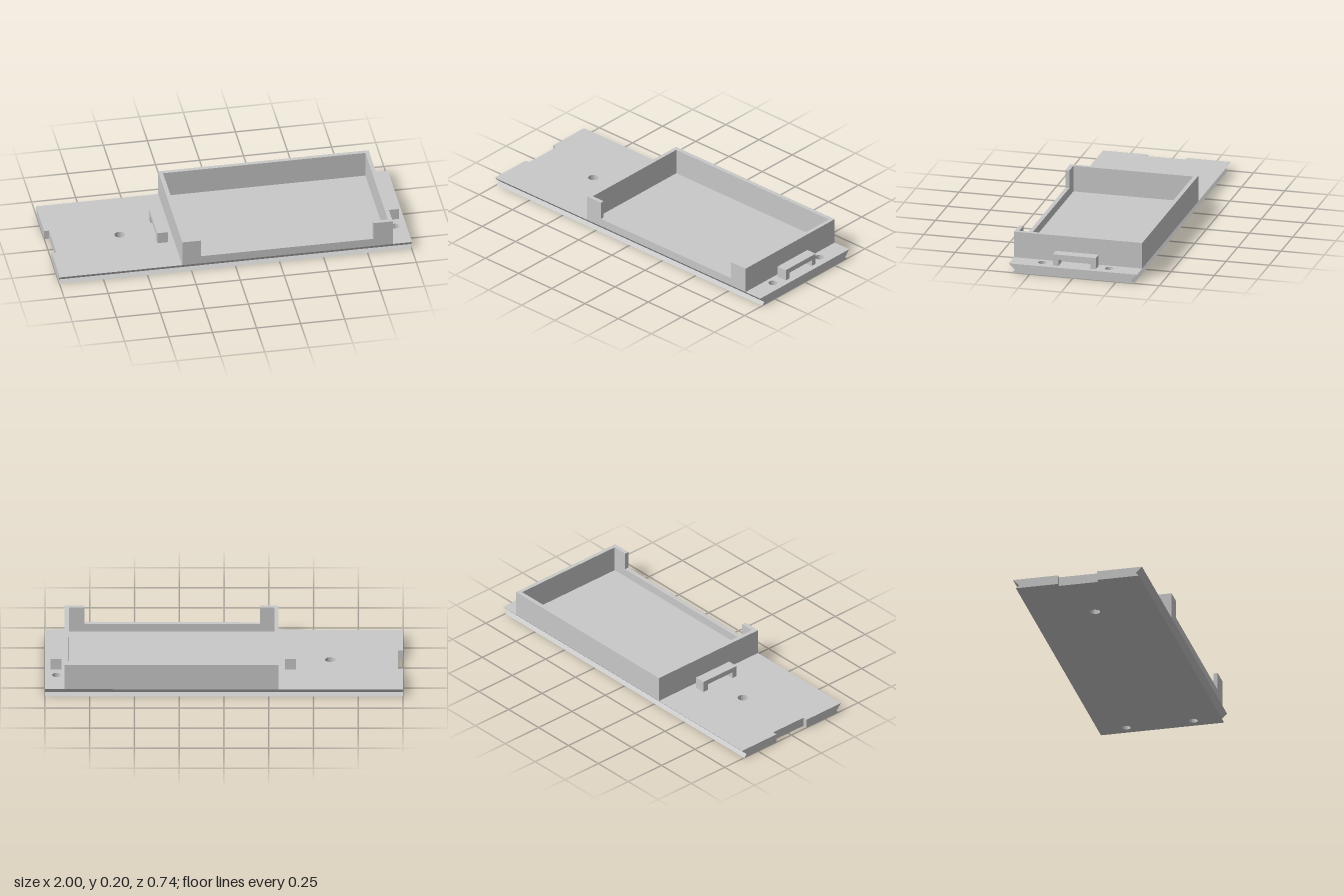
import * as THREE from 'three';
import { toCreasedNormals } from 'three/addons/utils/BufferGeometryUtils.js';

const grey = new THREE.MeshStandardMaterial({ color: 0xc8c8c8 });
grey.name = 'light grey';

const DECK = 0.053; // top of the base plate
const TOP = 0.204; // top of the tray walls
const HALF = 0.371; // half depth of the base plate

const outline = (pts) => pts.map(([x, y]) => new THREE.Vector2(x, y));

function addMesh(parent, name, geometry) {
  const mesh = new THREE.Mesh(geometry, grey);
  mesh.name = name;
  parent.add(mesh);
  return mesh;
}

function addBox(parent, name, [x0, x1], [y0, y1], [z0, z1]) {
  const mesh = addMesh(parent, name, new THREE.BoxGeometry(x1 - x0, y1 - y0, z1 - z0));
  mesh.position.set((x0 + x1) / 2, (y0 + y1) / 2, (z0 + z1) / 2);
}

// Sliding plate: notched at one end, drilled, with dovetail grooves on both long edges
function plateGeometry() {
  const shape = new THREE.Shape(outline([
    [-1, -HALF], [1, -HALF], [1, HALF], [-1, HALF],
    [-1, 0.113], [-0.973, 0.113], [-0.973, -0.113], [-1, -0.113],
  ]));
  for (const [x, y, r] of [[-0.593, 0, 0.029], [0.935, 0.193, 0.025], [0.935, -0.193, 0.025]]) {
    shape.holes.push(new THREE.Path().absarc(x, y, r, 0, Math.PI * 2, true));
  }
  const geometry = new THREE.ExtrudeGeometry(shape, { depth: 2, steps: 2, bevelEnabled: false, curveSegments: 32 });

  // Set the height of each layer and pull its long edges in to form the groove
  const levels = [[0, 0.354], [0.018, 0.336], [DECK, HALF]];
  const p = geometry.attributes.position;
  for (let i = 0; i < p.count; i++) {
    const [height, half] = levels[Math.round(p.getZ(i))];
    p.setZ(i, height);
    if (Math.abs(p.getY(i)) > HALF - 0.001) p.setY(i, Math.sign(p.getY(i)) * half);
  }
  geometry.rotateX(-Math.PI / 2);
  return toCreasedNormals(geometry, 0.5);
}

// Open tray: a wall ring up to the front lip, then a ring with a gap at the front
function buildTray() {
  const tray = new THREE.Group();
  tray.name = 'tray';
  const [x0, x1, i0, i1, inner] = [-0.305, 0.89, -0.282, 0.867, 0.347];
  const lip = 0.1;

  const addWall = (name, shape, y0, y1) => {
    const geometry = new THREE.ExtrudeGeometry(shape, { depth: y1 - y0, bevelEnabled: false });
    geometry.rotateX(-Math.PI / 2);
    addMesh(tray, name, geometry).position.y = y0;
  };

  const ring = new THREE.Shape(outline([[x0, -HALF], [x1, -HALF], [x1, HALF], [x0, HALF]]));
  ring.holes.push(new THREE.Path(outline([[i0, -inner], [i0, inner], [i1, inner], [i1, -inner]])));
  addWall('lowerTrayWall', ring, DECK, lip);

  const gapped = new THREE.Shape(outline([
    [-0.2, -HALF], [-0.2, -inner], [i0, -inner], [i0, inner], [i1, inner], [i1, -inner],
    [0.78, -inner], [0.78, -HALF], [x1, -HALF], [x1, HALF], [x0, HALF], [x0, -HALF],
  ]));
  addWall('upperTrayWall', gapped, lip, TOP);
  return tray;
}

// Square bridge-shaped loop
function buildLoop(name, x0, x1) {
  const loop = new THREE.Group();
  loop.name = name;
  addBox(loop, 'loopBar', [x0, x1], [0.09, 0.119], [-0.124, 0.124]);
  addBox(loop, 'frontLeg', [x0, x1], [DECK, 0.09], [0.092, 0.124]);
  addBox(loop, 'backLeg', [x0, x1], [DECK, 0.09], [-0.124, -0.092]);
  return loop;
}

export function createModel() {
  const model = new THREE.Group();
  model.name = 'trayPlate';
  addMesh(model, 'basePlate', plateGeometry());
  model.add(buildTray());
  model.add(buildLoop('rightLoop', -0.402, -0.34));
  model.add(buildLoop('leftLoop', 0.908, 0.97));
  return model;
}
